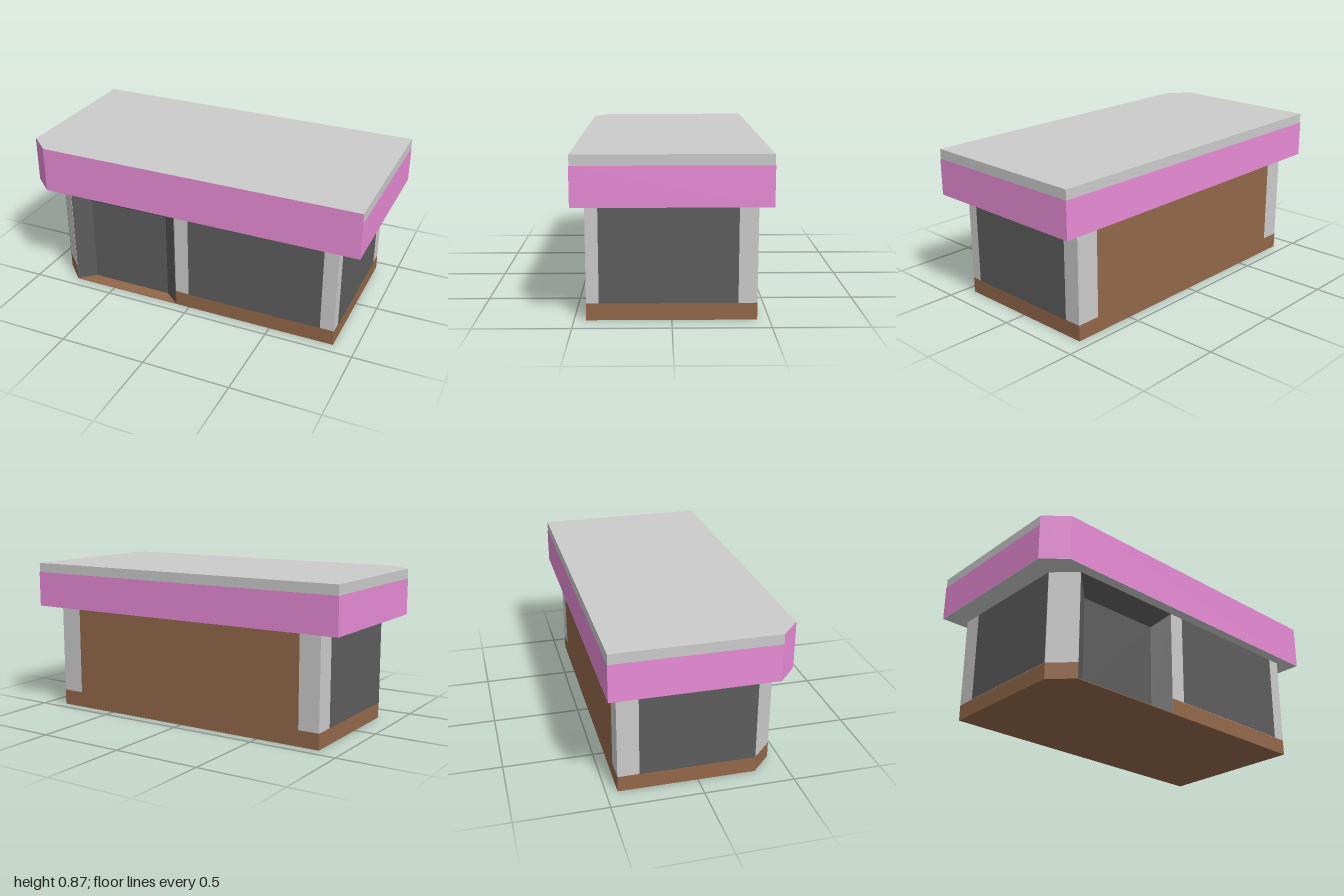
import * as THREE from 'three';

const mat = (color) => new THREE.MeshStandardMaterial({ color });
const GREY = mat(0xcccccc);
const BROWN = mat(0x936849);
const DARK = mat(0x5d5d5d);
const PINK = mat(0xe88bd6);
DARK.side = THREE.DoubleSide;

// Upright prism over a footprint of [x, z] points
function prism(name, points, y0, y1, material) {
  const shape = new THREE.Shape(points.map(([x, z]) => new THREE.Vector2(x, -z)));
  const geo = new THREE.ExtrudeGeometry(shape, { depth: y1 - y0, bevelEnabled: false });
  geo.rotateX(-Math.PI / 2).translate(0, y0, 0);
  const mesh = new THREE.Mesh(geo, material);
  mesh.name = name;
  return mesh;
}

// Flat four-cornered panel, corners counter-clockwise seen from its front
function panel(name, [a, b, c, d], material) {
  const geo = new THREE.BufferGeometry();
  geo.setAttribute('position', new THREE.Float32BufferAttribute([a, b, c, a, c, d].flat(), 3));
  geo.computeVertexNormals();
  const mesh = new THREE.Mesh(geo, material);
  mesh.name = name;
  return mesh;
}

// Upright panel between two ground points, ordered left to right seen from its front
const wallPanel = (name, [x0, z0], [x1, z1], y0, y1, material) =>
  panel(name, [[x0, y0, z0], [x1, y0, z1], [x1, y1, z1], [x0, y1, z0]], material);

export function createModel() {
  const model = new THREE.Group();
  model.name = 'shop';

  const X = 0.875, Z = 0.4375, EAVES = 0.612, PLINTH = 0.09;
  const cutX = -0.757, cutZ = 0.32; // clipped front corner
  const doorL = -0.755, doorR = -0.087, bevel = 0.09, depth = 0.075, doorTop = 0.522;
  const gap = 0.004;

  // Building footprints: plain, and with the entrance notch
  const back = [[-X, cutZ], [-X, -Z], [X, -Z], [X, Z]];
  const plain = [[cutX, Z], ...back];
  const inner = Z - depth;
  const notched = [
    [cutX, Z], ...back, [doorR + gap, Z],
    [doorR - bevel + gap, inner - gap], [doorL + bevel - gap, inner - gap], [doorL, Z - gap],
  ];
  model.add(prism('floor', plain, 0, 0.004, BROWN));
  model.add(prism('plinth', notched, 0.004, PLINTH, BROWN));
  model.add(prism('walls', notched, PLINTH, EAVES, GREY));

  // Recessed entrance with splayed sides and a sloping head
  const entrance = new THREE.Group();
  entrance.name = 'entrance';
  const inL = doorL + bevel, inR = doorR - bevel;
  entrance.add(
    wallPanel('door', [inL, inner], [inR, inner], 0.004, doorTop, DARK),
    panel('leftReveal', [[doorL, 0.004, Z], [inL, 0.004, inner], [inL, doorTop, inner], [doorL, EAVES, Z]], DARK),
    panel('rightReveal', [[inR, 0.004, inner], [doorR, 0.004, Z], [doorR, EAVES, Z], [inR, doorTop, inner]], DARK),
    panel('doorHead', [[inL, doorTop, inner], [inR, doorTop, inner], [doorR, EAVES, Z], [doorL, EAVES, Z]], DARK),
  );
  model.add(entrance);

  // Windows and rear cladding, just proud of the walls
  const out = 0.002;
  model.add(
    wallPanel('frontWindow', [0, Z + out], [0.795, Z + out], PLINTH, EAVES, DARK),
    wallPanel('leftWindow', [X + out, 0.372], [X + out, -0.34], PLINTH, EAVES, DARK),
    wallPanel('rightWindow', [-X - out, -0.32], [-X - out, cutZ], PLINTH, EAVES, DARK),
    wallPanel('rearCladding', [0.74, -Z - out], [-0.755, -Z - out], PLINTH, EAVES, BROWN),
  );

  // Overhanging roof: grey core and cap with a coloured fascia band
  const roof = new THREE.Group();
  roof.name = 'roof';
  const roofPlan = [[-0.875, 0.498], [-0.998, 0.39], [-0.998, -0.498], [0.998, -0.498], [0.998, 0.498]];
  roof.add(prism('roofSlab', roofPlan, EAVES, 0.873, GREY));
  const rim = [[-0.877, 0.5], [-1, 0.39], [-1, -0.5], [1, -0.5], [1, 0.5]];
  rim.forEach((p, i) => {
    const q = rim[(i + 1) % rim.length];
    // the band is taller on the front and the clipped corner
    const top = i === 0 || i === 4 ? 0.873 : 0.818;
    roof.add(wallPanel('fascia', q[0] === p[0] && q[1] === p[1] ? q : p, q, EAVES, top, PINK));
  });
  // bands run clockwise from above, so they face inward until flipped
  roof.children.filter((m) => m.name === 'fascia').forEach((m) => {
    const pos = m.geometry.attributes.position.array;
    for (let t = 0; t < pos.length; t += 9) {
      for (let k = 0; k < 3; k++) [pos[t + k], pos[t + 3 + k]] = [pos[t + 3 + k], pos[t + k]];
    }
    m.geometry.computeVertexNormals();
  });
  model.add(roof);
  return model;
}
